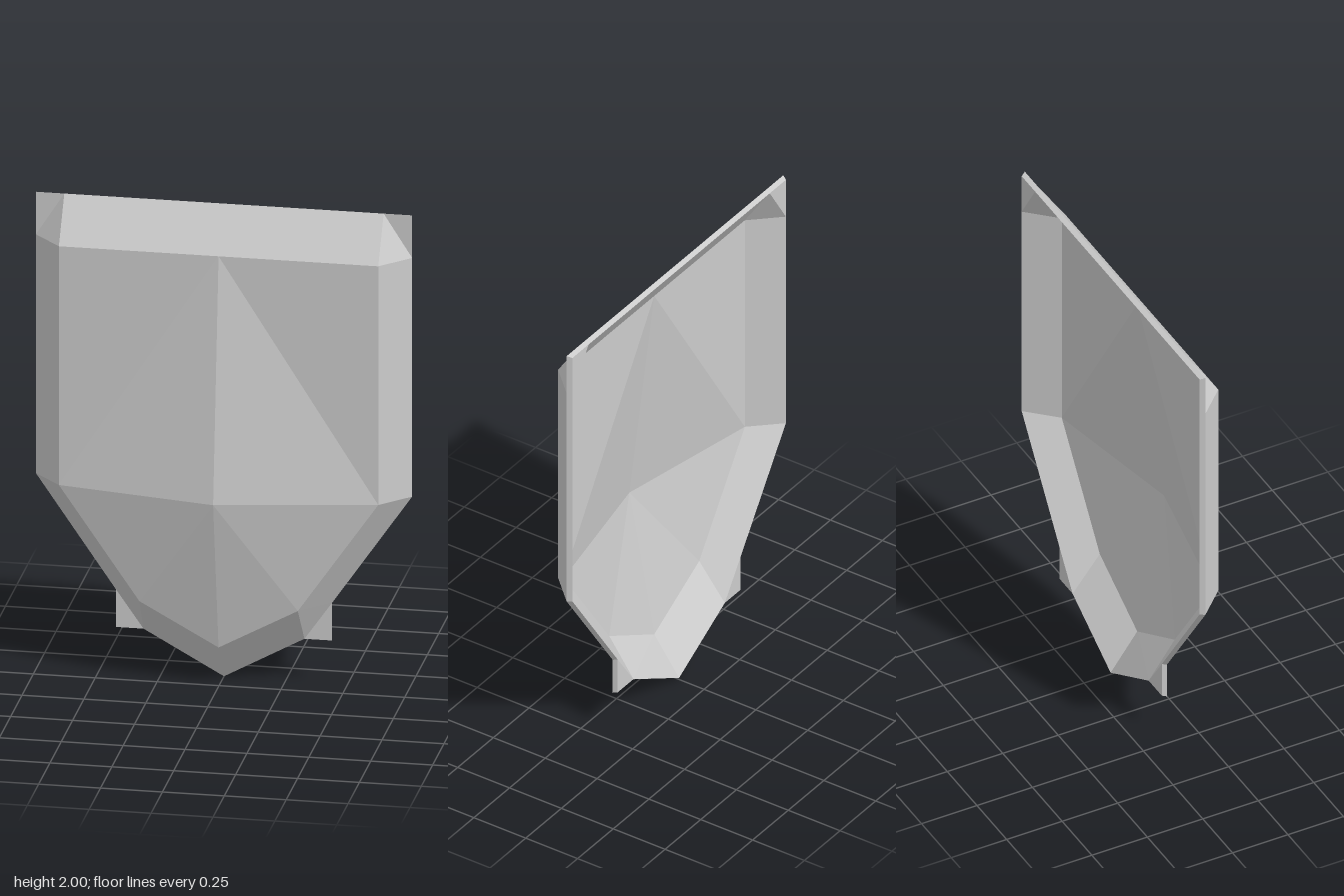
import * as THREE from 'three';

// Corner points of the left (+x) half of the shield's front surface
const P = {
  peak: [0, 0.81, 0.13],
  // inner outline, where the bevel begins
  top: [0, 1.82, 0.01], shoulder: [0.645, 1.82, 0.01], waist: [0.645, 0.81, 0.01],
  hip: [0.32, 0.34, 0.01], foot: [0, 0.165, 0.01],
  // outer outline
  topO: [0, 2, -0.11], bevelO: [0.645, 2, -0.11], cornerO: [0.76, 2, -0.11],
  shoulderO: [0.76, 1.82, -0.11], waistO: [0.76, 0.81, -0.11], hipO: [0.437, 0.34, -0.11],
  tabO: [0.437, 0.18, -0.11], ankleO: [0.325, 0.18, -0.11], tipO: [0, 0, -0.11],
};

// Polygons of each part, counter-clockwise seen from the front
const PARTS = {
  facePlate: ['top waist shoulder', 'top peak waist', 'peak hip waist', 'peak foot hip'],
  bevel: [
    'topO top shoulder bevelO', 'shoulder shoulderO bevelO', 'shoulder waist waistO shoulderO',
    'waist hip hipO waistO', 'hip ankleO hipO', 'hip foot tipO ankleO',
  ],
  topCornerTabs: ['bevelO shoulderO cornerO'],
  lowerTabs: ['hipO ankleO tabO'],
};
const EDGE = ['topO', 'bevelO', 'cornerO', 'shoulderO', 'waistO', 'hipO', 'tabO', 'ankleO', 'tipO'];

// Matching point on the hollow back: slightly inset and one thickness behind
const back = ([x, y, z]) => [x * 0.985, y + (1 - y) * 0.008, z - 0.02];
const mirror = ([x, y, z]) => [-x, y, z];

// Adds a polygon as a triangle fan, plus its mirror image with reversed winding
function addPolygon(out, pts) {
  for (let i = 1; i < pts.length - 1; i++) {
    const tri = [pts[0], pts[i], pts[i + 1]];
    out.push(...tri.flat(), ...tri.map(mirror).reverse().flat());
  }
}

function makeMesh(name, positions, material) {
  const geometry = new THREE.BufferGeometry();
  geometry.setAttribute('position', new THREE.Float32BufferAttribute(positions, 3));
  geometry.computeVertexNormals();
  const mesh = new THREE.Mesh(geometry, material);
  mesh.name = name;
  return mesh;
}

export function createModel() {
  const group = new THREE.Group();
  group.name = 'shield';
  const material = new THREE.MeshStandardMaterial({ color: 0xcccccc, flatShading: true });

  // Front and hollow back of every part
  for (const [name, polygons] of Object.entries(PARTS)) {
    const positions = [];
    for (const polygon of polygons) {
      const pts = polygon.split(' ').map((key) => P[key]);
      addPolygon(positions, pts);
      addPolygon(positions, pts.map(back).reverse());
    }
    group.add(makeMesh(name, positions, material));
  }

  // Thin rim joining front and back along the outline
  const rim = [];
  for (let i = 0; i < EDGE.length - 1; i++) {
    const a = P[EDGE[i]], b = P[EDGE[i + 1]];
    addPolygon(rim, [a, b, back(b), back(a)]);
  }
  group.add(makeMesh('rim', rim, material));

  return group;
}
